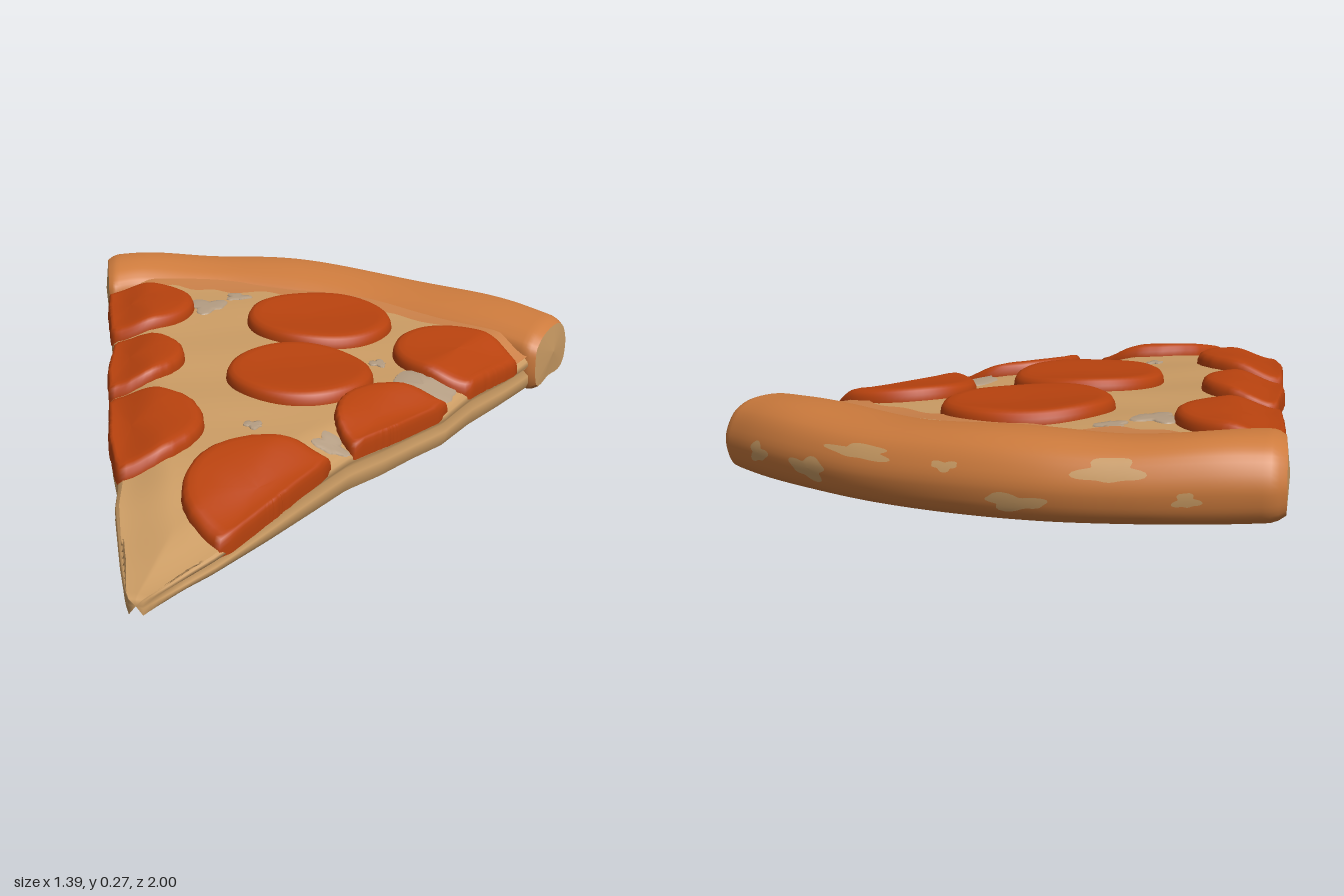
import * as THREE from 'three';

const material = (name, color, side = THREE.FrontSide) => {
  const m = new THREE.MeshStandardMaterial({ color, side });
  m.name = name;
  return m;
};
const lerp = THREE.MathUtils.lerp;
const smooth = (v) => THREE.MathUtils.smoothstep(v, 0, 1);

// Outline of the two cut edges: [z, x] from tip to crust
const LEFT = [[1, -0.185], [0.97, -0.2], [0.85, -0.24], [0.65, -0.3], [0.56, -0.315], [0.4, -0.37], [0.17, -0.43],
  [0, -0.475], [-0.2, -0.51], [-0.32, -0.55], [-0.5, -0.6], [-0.65, -0.635], [-0.9, -0.69]];
const RIGHT = [[1, -0.155], [0.97, -0.14], [0.8, -0.04], [0.62, 0.05], [0.45, 0.13], [0.32, 0.19], [0.22, 0.26],
  [0.1, 0.33], [0, 0.395], [-0.15, 0.455], [-0.3, 0.53], [-0.45, 0.6], [-0.65, 0.69]];
function edgeX(table, z) {
  for (let i = 1; i < table.length; i++) {
    const [z0, x0] = table[i - 1], [z1, x1] = table[i];
    if (z >= z1 || i === table.length - 1) return lerp(x0, x1, (z0 - z) / (z0 - z1));
  }
}
const leftX = (z) => edgeX(LEFT, z);
const rightX = (z) => edgeX(RIGHT, z);

// The slice lies slightly tilted; cheese is thicker in the middle
const baseY = (x, z) => Math.max(0, 0.0354 - 0.0418 * x - 0.0425 * z);
function topY(x, z) {
  const d = Math.max(0, Math.min(x - leftX(z), rightX(z) - x));
  const thick = 0.05 + 0.08 * smooth((1 - z) / 0.65);
  const bump = 0.005 * Math.sin(11 * x + 4 * z) * Math.cos(13 * z - 3 * x) * smooth((1 - z) / 0.3);
  return baseY(x, z) + thick * (0.7 + 0.3 * smooth(d / 0.13)) + bump;
}

// Surface grid; its front side faces (d/du x d/dv)
function grid(nu, nv, fn) {
  const pos = [], idx = [];
  for (let i = 0; i <= nu; i++) for (let j = 0; j <= nv; j++) pos.push(...fn(i / nu, j / nv, i, j));
  for (let i = 0; i < nu; i++) for (let j = 0; j < nv; j++) {
    const a = i * (nv + 1) + j, b = a + nv + 1;
    idx.push(a, b, a + 1, b, b + 1, a + 1);
  }
  const g = new THREE.BufferGeometry();
  g.setAttribute('position', new THREE.Float32BufferAttribute(pos, 3));
  g.setIndex(idx);
  g.computeVertexNormals();
  return g;
}

// Point on the slab plan: s across, t from tip to crust
function plan(s, t) {
  const zl = 1 - 1.72 * t, zr = 1 - 1.5 * t;
  return [lerp(leftX(zl), rightX(zr), s), lerp(zl, zr, s) - 0.17 * t * t * 4 * s * (1 - s)];
}

// Slab section: [s, inset, height fraction], up the left side, over, down the right
const SIDE = [[0.012, 0], [0.002, 0.2], [0, 0.45], [0.014, 0.6], [0, 0.78], [0.003, 0.92], [0.014, 1]];
const SECTION = SIDE.map(([a, h]) => [0, a, h]);
for (let i = 1; i < 30; i++) SECTION.push([i / 30, 0, 1]);
SIDE.slice().reverse().forEach(([a, h]) => SECTION.push([1, -a, h]));

function slabPoint([s, inset, h], t) {
  const [x0, z] = plan(s, t);
  const x = x0 + inset * Math.min(1, t * 12);
  return [x, lerp(baseY(x, z), topY(x, z), h), z];
}

// Patch draped on the cheese, cut off at the slice edges
function drape(cx, cz, radius, profile, wobble = 0) {
  const ox = THREE.MathUtils.clamp(cx, leftX(cz) + 0.05, rightX(cz) - 0.05);
  const reach = [];
  for (let j = 0; j <= 72; j++) {
    const a = (j % 72) / 72 * Math.PI * 2;
    const R = radius * (1 + wobble * (Math.sin(3 * a + cx * 20) + 0.6 * Math.sin(5 * a + cz * 30)));
    let r = 0;
    while (r < 0.5) {
      const x = ox + r * Math.cos(a), z = cz - r * Math.sin(a);
      if (Math.hypot(x - cx, z - cz) > R || x < leftX(z) - 0.004 || x > rightX(z) + 0.004) break;
      r += 0.003;
    }
    reach.push([a, r]);
  }
  return grid(profile.length - 1, 72, (u, v, i, j) => {
    const [a, r] = reach[j], [f, h] = profile[i];
    const x = ox + f * r * Math.cos(a), z = cz - f * r * Math.sin(a);
    return [x, topY(x, z) + h, z];
  });
}

// Crust guide curves and section [inner to outer, height]
const curve = (pts) => new THREE.CatmullRomCurve3(pts.map(([x, z]) => new THREE.Vector3(x, 0, z)));
const INNER = curve([[-0.635, -0.63], [-0.55, -0.69], [-0.4, -0.72], [-0.27, -0.735], [-0.1, -0.715], [0.1, -0.67],
  [0.3, -0.585], [0.48, -0.5], [0.605, -0.42]]);
const OUTER = curve([[-0.705, -0.895], [-0.55, -0.945], [-0.4, -0.98], [-0.22, -1], [-0.02, -0.985], [0.2, -0.93],
  [0.4, -0.845], [0.56, -0.76], [0.7, -0.665]]);
const LOAF = new THREE.CatmullRomCurve3([[0.06, 0], [0, 0.05], [0.01, 0.11], [0.12, 0.142], [0.3, 0.16], [0.55, 0.167],
  [0.78, 0.157], [0.93, 0.125], [1, 0.075], [0.97, 0.03], [0.85, 0], [0.45, 0]]
  .map(([v, h]) => new THREE.Vector3(v, h, 0)), true);
function crustPoint(u, a, scale = 1) {
  const p = LOAF.getPoint(a), I = INNER.getPoint(u), O = OUTER.getPoint(u);
  const v = 0.5 + (p.x - 0.5) * scale, h = 0.08 + (p.y - 0.08) * scale;
  const x = lerp(I.x, O.x, v), z = lerp(I.z, O.z, v);
  return [x, baseY(x, z) + h * (1 + 0.03 * Math.sin(u * 17)), z];
}
const endScale = (u) => 1 - 0.14 * Math.pow(Math.max(0, 1 - Math.min(u, 1 - u) / 0.03), 2);

export function createModel() {
  const group = new THREE.Group();
  const cheese = material('cheese tan', 0xcb9c64, THREE.DoubleSide);
  const dough = material('baked crust', 0xcd7b3d);
  const sauce = material('sauce orange', 0xcb8149, THREE.DoubleSide);
  const meat = material('pepperoni red', 0xb8420e, THREE.DoubleSide);
  const pale = material('pale cheese', 0xb39c82, THREE.DoubleSide);
  const add = (name, geometry, mat) => {
    const mesh = new THREE.Mesh(geometry, mat);
    mesh.name = name;
    group.add(mesh);
  };

  // Cheese top with layered cut sides, closed at the tip
  add('cheeseSlab', grid(SECTION.length - 1, 70, (u, v, i, j) =>
    j === 0 ? [-0.17, 0.02, 1] : slabPoint(SECTION[i], (j - 1) / 69)), cheese);

  // Flat baked underside
  add('underside', grid(12, 40, (u, v) => {
    const [x, z] = plan(1 - u, v);
    return [x + 0.012 * (2 * u - 1) * Math.min(1, v * 12), baseY(x, z), z];
  }), dough);

  // Raised crust and its two cut ends
  add('crust', grid(80, 48, (u, v) => crustPoint(u, v, endScale(u))), dough);
  for (const u of [0, 1]) {
    add(u ? 'crustEndLeft' : 'crustEndRight', grid(4, 48, (k, a) => {
      const p = crustPoint(u, a, 0.86 * (u ? 1 - k : k));
      p[0] += (u ? 1 : -1) * 0.008 * (u ? k : 1 - k);
      return p;
    }), cheese);
  }

  // Sauce showing between crust and cheese
  add('sauceBand', grid(60, 6, (u, v) => {
    const p = INNER.getPoint(lerp(0.01, 0.985, u));
    const width = 0.065 + 0.02 * Math.sin(u * 23) + 0.014 * Math.sin(u * 51 + 1);
    const z = p.z - 0.02 + (1 - v) * (width + 0.02);
    const x = THREE.MathUtils.clamp(p.x, leftX(z) + 0.006, rightX(z) - 0.006);
    return [x, topY(x, z) + 0.006, z];
  }), sauce);

  // Pepperoni: x, z, radius
  const slice = [[0, 0.028], [0.3, 0.028], [0.6, 0.029], [0.8, 0.031], [0.9, 0.03], [0.96, 0.024], [0.99, 0.013],
    [1, 0], [1, -0.015]];
  [[0.01, -0.46, 0.2], [0.015, -0.045, 0.187], [-0.53, -0.465, 0.178], [0.405, -0.29, 0.172], [-0.46, -0.065, 0.165],
    [-0.365, 0.355, 0.205], [0.335, 0.175, 0.2], [0.06, 0.59, 0.215]]
    .forEach(([x, z, r], i) => add('pepperoni' + (i + 1), drape(x, z, r, slice), meat));

  // Pale blotches in the cheese
  const film = [[0, 0.005], [0.5, 0.005], [0.95, 0.005], [1, 0.001]];
  [[-0.32, -0.52, 0.05], [0.33, -0.08, 0.075], [0.14, 0.31, 0.035], [-0.05, 0.285, 0.02], [-0.25, -0.62, 0.03],
    [0.2, -0.2, 0.02]]
    .forEach(([x, z, r], i) => add('paleBlotch' + (i + 1), drape(x, z, r, film, 0.25), pale));

  // Floury patches on the back of the crust: position along, around, half sizes
  [[0.27, 0.6, 0.045, 0.04], [0.63, 0.6, 0.05, 0.025], [0.72, 0.69, 0.035, 0.04], [0.5, 0.62, 0.018, 0.015],
    [0.4, 0.72, 0.04, 0.03], [0.85, 0.68, 0.025, 0.035], [0.15, 0.7, 0.02, 0.025]]
    .forEach(([u, a, du, da], i) => add('crustPatch' + (i + 1), grid(5, 40, (k, v) => {
      const w = v * Math.PI * 2;
      const r = k * (1 + 0.22 * Math.sin(3 * w + i) + 0.14 * Math.sin(5 * w + 2 * i));
      return crustPoint(u + du * r * Math.cos(w), a + da * r * Math.sin(w), 1.025);
    }), cheese));

  return group;
}
